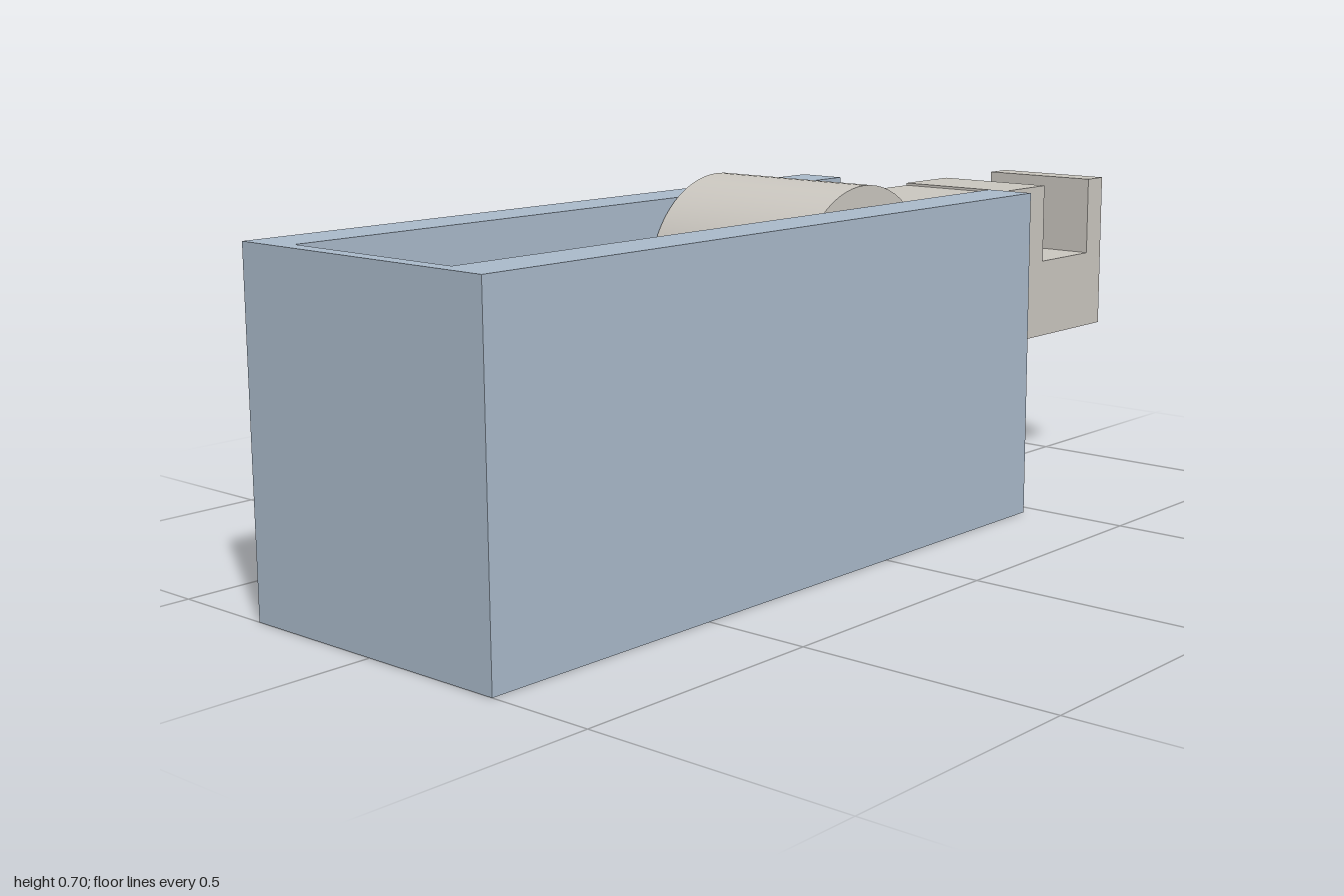
import * as THREE from 'three';

const shapeOf = (points) => new THREE.Shape(points.map(([x, y]) => new THREE.Vector2(x, y)));
const extrude = (points, depth) =>
  new THREE.ExtrudeGeometry(shapeOf(points), { depth, bevelEnabled: false });

export function createModel() {
  const model = new THREE.Group();
  const blue = new THREE.MeshStandardMaterial({ color: 0xa9b9ca });
  blue.name = 'blueGrey';
  const grey = new THREE.MeshStandardMaterial({ color: 0xcac6bf });
  grey.name = 'warmGrey';

  const add = (name, geometry, material, parent = model) => {
    const mesh = new THREE.Mesh(geometry, material);
    mesh.name = name;
    parent.add(mesh);
    return mesh;
  };

  // Housing: a U-shaped trough, open at the back, closed by a thin front wall
  const W = 0.293, H = 0.657, inner = 0.192, floor = 0.257;
  const housing = new THREE.Group();
  housing.name = 'housing';
  model.add(housing);
  const trough = extrude([
    [-W, 0], [W, 0], [W, H], [inner, H], [inner, floor],
    [-inner, floor], [-inner, H], [-W, H],
  ], 1.435);
  add('trough', trough, blue, housing).position.z = -0.465;
  add('frontWall', new THREE.BoxGeometry(2 * W, H, 0.03), blue, housing)
    .position.set(0, H / 2, 0.985);

  // Roller lying across the trough, with a hub reaching both side walls
  const roller = new THREE.Group();
  roller.name = 'roller';
  roller.position.set(0, 0.497, -0.063);
  roller.rotation.z = Math.PI / 2;
  model.add(roller);
  add('drum', new THREE.CylinderGeometry(0.2, 0.2, 0.37, 64), grey, roller);
  add('hub', new THREE.CylinderGeometry(0.14, 0.14, 2 * inner, 48), grey, roller);

  // Arm: side profile (distance backwards, height) with a notch and an end lip
  const arm = extrude([
    [0.12, 0.304], [0.575, 0.304], [0.575, 0.309], [1, 0.309], [1, 0.637],
    [0.943, 0.637], [0.943, 0.473], [0.766, 0.473], [0.766, 0.637],
    [0.618, 0.637], [0.618, 0.632], [0.12, 0.632],
  ], 0.26);
  arm.translate(0, 0, -0.13).rotateY(Math.PI / 2);
  add('notchedArm', arm, grey);

  return model;
}
